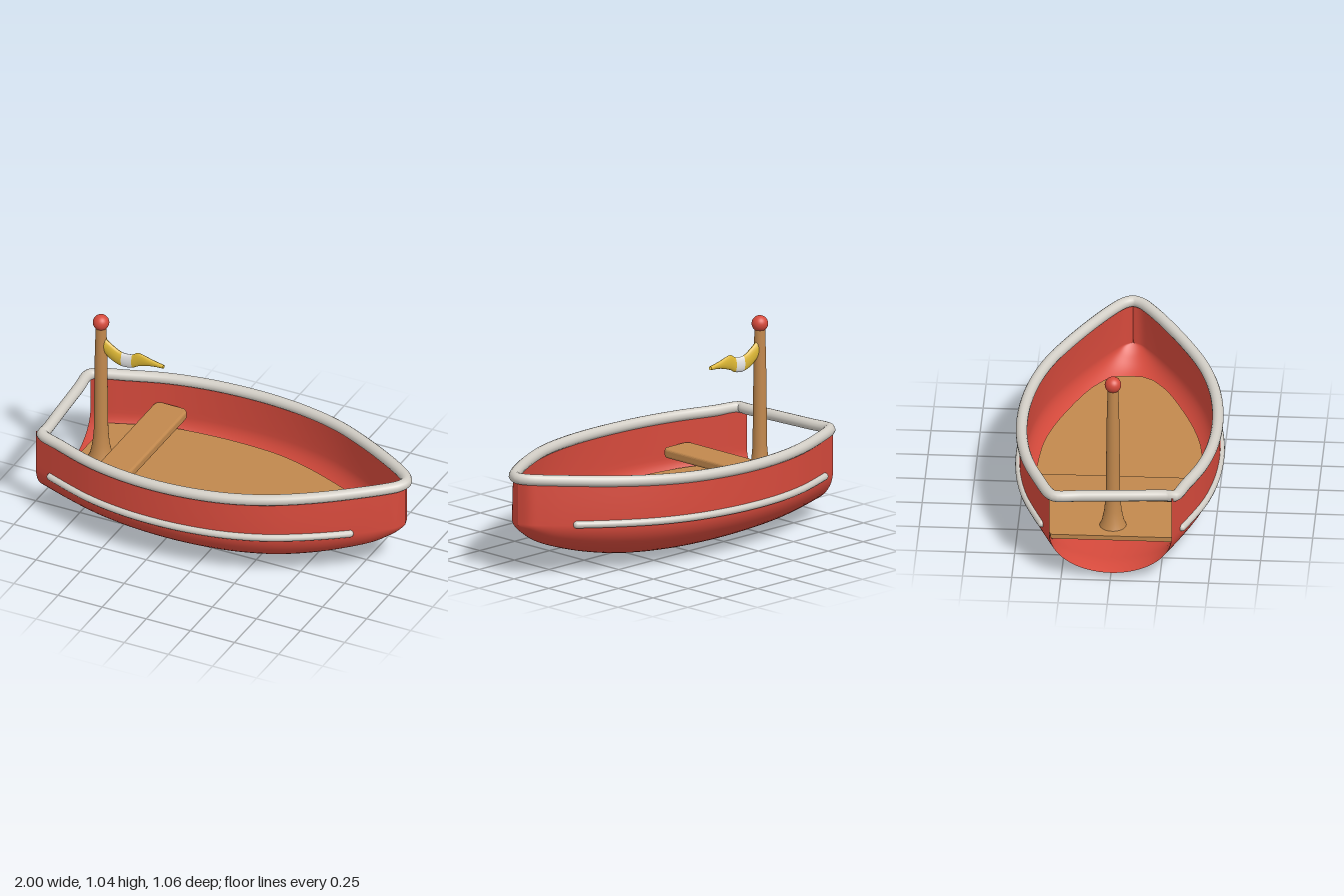
import * as THREE from 'three';

const mat = (name, color, side = THREE.FrontSide) => {
  const m = new THREE.MeshStandardMaterial({ color, side });
  m.name = name;
  return m;
};

// Hull stations, stern to bow: [x, half width at top, keel y, bilge y, top y]
const STATIONS = [
  [-0.97, 0.31, 0.03, 0.24, 0.465],
  [-0.8, 0.38, 0.02, 0.24, 0.46],
  [-0.6, 0.45, 0.012, 0.242, 0.458],
  [-0.4, 0.49, 0.006, 0.245, 0.458],
  [-0.2, 0.504, 0.003, 0.248, 0.46],
  [0, 0.495, 0.004, 0.252, 0.465],
  [0.2, 0.462, 0.013, 0.257, 0.472],
  [0.4, 0.398, 0.035, 0.263, 0.483],
  [0.6, 0.297, 0.08, 0.27, 0.496],
  [0.8, 0.172, 0.15, 0.28, 0.513],
  [0.9, 0.1, 0.21, 0.285, 0.521],
  [0.95, 0.055, 0.252, 0.288, 0.525],
  [0.97, 0, 0.278, 0.29, 0.527],
];
const spline = (i, j) => new THREE.SplineCurve(STATIONS.map(s => new THREE.Vector2(s[i], s[j])));
const widthCurve = spline(0, 1), keelCurve = spline(2, 3), topCurve = spline(0, 4);
// The sides swell below the gunwale, more so toward the bow
const swell = (t, depth) => 1 + 0.15 * t ** 3 * Math.sin(depth * Math.PI / 2);

// Surface through rows of points of equal length
function loft(rows) {
  const n = rows[0].length, idx = [];
  for (let i = 0; i < rows.length - 1; i++)
    for (let j = 0; j < n - 1; j++) {
      const a = i * n + j, b = a + n;
      idx.push(a, a + 1, b, b, a + 1, b + 1);
    }
  const g = new THREE.BufferGeometry();
  g.setAttribute('position', new THREE.Float32BufferAttribute(rows.flat(2), 3));
  g.setIndex(idx);
  g.computeVertexNormals();
  return g;
}

// Open-sterned shell, upright sides above an elliptical bottom; inset makes the lining
function hullGeometry(inset) {
  const rows = [];
  for (let i = 0; i <= 72; i++) {
    const t = i / 72, gap = inset * Math.min(1, t * 20);
    const { x, y: w0 } = widthCurve.getPoint(t), { x: k0, y: bilge } = keelCurve.getPoint(t);
    const top = topCurve.getPoint(t).y;
    const w = Math.max(0, w0 - gap), keel = Math.min(bilge, k0 + gap);
    const upper = [], row = [];
    for (let k = 0; k < 6; k++) upper.push([x, top + (bilge - top) * k / 6, w * swell(t, k / 6)]);
    row.push(...upper);
    for (let k = 0; k <= 32; k++) {
      const a = Math.PI / 2 - Math.PI * k / 32;
      row.push([x, bilge - (bilge - keel) * Math.cos(a), w * swell(t, 1) * Math.sin(a)]);
    }
    row.push(...upper.reverse().map(([px, py, pz]) => [px, py, -pz]));
    rows.push(row);
  }
  return loft(rows);
}

// Slice of the waving pennant between two parameters
const curve2 = pts => new THREE.SplineCurve(pts.map(p => new THREE.Vector2(...p)));
const pennantTop = curve2([[-0.745, 0.925], [-0.70, 0.89], [-0.64, 0.857], [-0.58, 0.859],
  [-0.54, 0.878], [-0.47, 0.86], [-0.40, 0.845]]);
const pennantBottom = curve2([[-0.745, 0.84], [-0.70, 0.80], [-0.64, 0.775], [-0.58, 0.78],
  [-0.54, 0.80], [-0.47, 0.82], [-0.40, 0.826]]);
function pennantGeometry(t0, t1) {
  const rows = [];
  for (let i = 0; i <= 16; i++) {
    const t = t0 + (t1 - t0) * i / 16;
    const a = pennantTop.getPoint(t), b = pennantBottom.getPoint(t), row = [];
    for (let k = 0; k <= 16; k++) {
      const s = k / 16 * Math.PI * 2;
      row.push([a.x, (a.y + b.y) / 2 + (a.y - b.y) / 2 * Math.cos(s), (0.019 - 0.009 * t) * Math.sin(s)]);
    }
    rows.push(row);
  }
  return loft(rows);
}

export function createModel() {
  const boat = new THREE.Group();
  boat.name = 'rowingBoat';
  const red = mat('redPaint', 0xd64a3c, THREE.DoubleSide);
  const wood = mat('wood', 0xc1884d), grey = mat('paleGreyTrim', 0xd2cec6);
  const yellow = mat('yellowCloth', 0xdeb835, THREE.DoubleSide);
  const white = mat('whiteCloth', 0xe6e6e6, THREE.DoubleSide);
  const add = (name, geometry, material, parent = boat) => {
    const m = new THREE.Mesh(geometry, material);
    m.name = name;
    parent.add(m);
    return m;
  };

  add('hull', hullGeometry(0), red);
  add('hullLining', hullGeometry(0.022), red);

  // Gunwale: one closed tube around the top edge, slightly skewed at the stern
  const side = STATIONS.slice(1, -1).map(([x, w, , , y]) => [x, y, w - 0.008]);
  const ring = [
    [-0.93, 0.465, 0.322], ...side, [0.972, 0.527, 0],
    ...side.map(([x, y, z]) => [x, y, -z]).reverse(),
    [-0.935, 0.465, -0.316], [-0.967, 0.465, -0.285], [-0.957, 0.465, -0.15],
    [-0.94, 0.465, 0.1], [-0.927, 0.465, 0.28],
  ].map(p => new THREE.Vector3(...p));
  add('gunwale', new THREE.TubeGeometry(new THREE.CatmullRomCurve3(ring, true), 220, 0.029, 14, true), grey);

  // Rub rails with rounded ends
  for (const s of [1, -1]) {
    const rail = new THREE.Group();
    rail.name = s > 0 ? 'leftRubRail' : 'rightRubRail';
    boat.add(rail);
    const pts = [];
    for (let i = 0; i <= 20; i++) {
      const t = 0.056 + 0.675 * i / 20, p = widthCurve.getPoint(t);
      pts.push(new THREE.Vector3(p.x, 0.246 + 0.037 * (i / 20) ** 1.8, s * (p.y * swell(t, 1) + 0.003)));
    }
    add('rubRailBar', new THREE.TubeGeometry(new THREE.CatmullRomCurve3(pts), 60, 0.019, 12), grey, rail);
    for (const p of [pts[0], pts[20]])
      add('rubRailEnd', new THREE.SphereGeometry(0.019, 12, 10), grey, rail).position.copy(p);
  }

  // Floor boards, rising gently toward the bow
  const half = [[-0.6, 0.395], [-0.3, 0.42], [0, 0.405], [0.2, 0.36], [0.4, 0.285], [0.58, 0.2], [0.69, 0.12]];
  const floor = new THREE.Shape();
  floor.moveTo(-0.87, -0.31);
  floor.splineThru(half.map(([x, z]) => new THREE.Vector2(x, -z)));
  floor.lineTo(0.725, -0.06);
  floor.lineTo(0.725, 0.06);
  floor.lineTo(0.69, 0.12);
  floor.splineThru([...half.slice(0, -1).reverse(), [-0.87, 0.31]].map(p => new THREE.Vector2(...p)));
  floor.closePath();
  const floorGeo = new THREE.ExtrudeGeometry(floor, { depth: 0.025, bevelEnabled: false, curveSegments: 32 });
  floorGeo.rotateX(-Math.PI / 2).rotateZ(0.025);
  add('floorBoards', floorGeo, wood).position.y = 0.185;

  // Seat plank with softened edges
  const plank = new THREE.Shape();
  const hw = 0.08, hl = 0.412, r = 0.025;
  plank.moveTo(-hw + r, -hl);
  for (const [cx, cy, a] of [[hw - r, -hl + r, -0.5], [hw - r, hl - r, 0], [-hw + r, hl - r, 0.5], [-hw + r, -hl + r, 1]])
    plank.absarc(cx, cy, r, a * Math.PI, (a + 0.5) * Math.PI);
  const seatGeo = new THREE.ExtrudeGeometry(plank, { depth: 0.025, bevelSize: 0.012, bevelThickness: 0.012, bevelSegments: 3 });
  seatGeo.rotateX(-Math.PI / 2);
  add('seat', seatGeo, wood).position.set(-0.562, 0.282, -0.004);

  // Mast with a flared foot and a ball on top
  const profile = [[0.075, 0.175], [0.056, 0.22], [0.044, 0.28], [0.037, 0.36], [0.035, 0.55], [0.032, 0.8], [0.027, 0.99]];
  add('mast', new THREE.LatheGeometry(profile.map(p => new THREE.Vector2(...p)), 24), wood).position.x = -0.755;
  add('mastBall', new THREE.SphereGeometry(0.042, 28, 20), red).position.set(-0.755, 1.003, 0);

  // Pennant: yellow cloth with one white band
  add('pennantRoot', pennantGeometry(0, 0.345), yellow);
  add('pennantBand', pennantGeometry(0.345, 0.51), white);
  add('pennantTip', pennantGeometry(0.51, 1), yellow);
  return boat;
}
